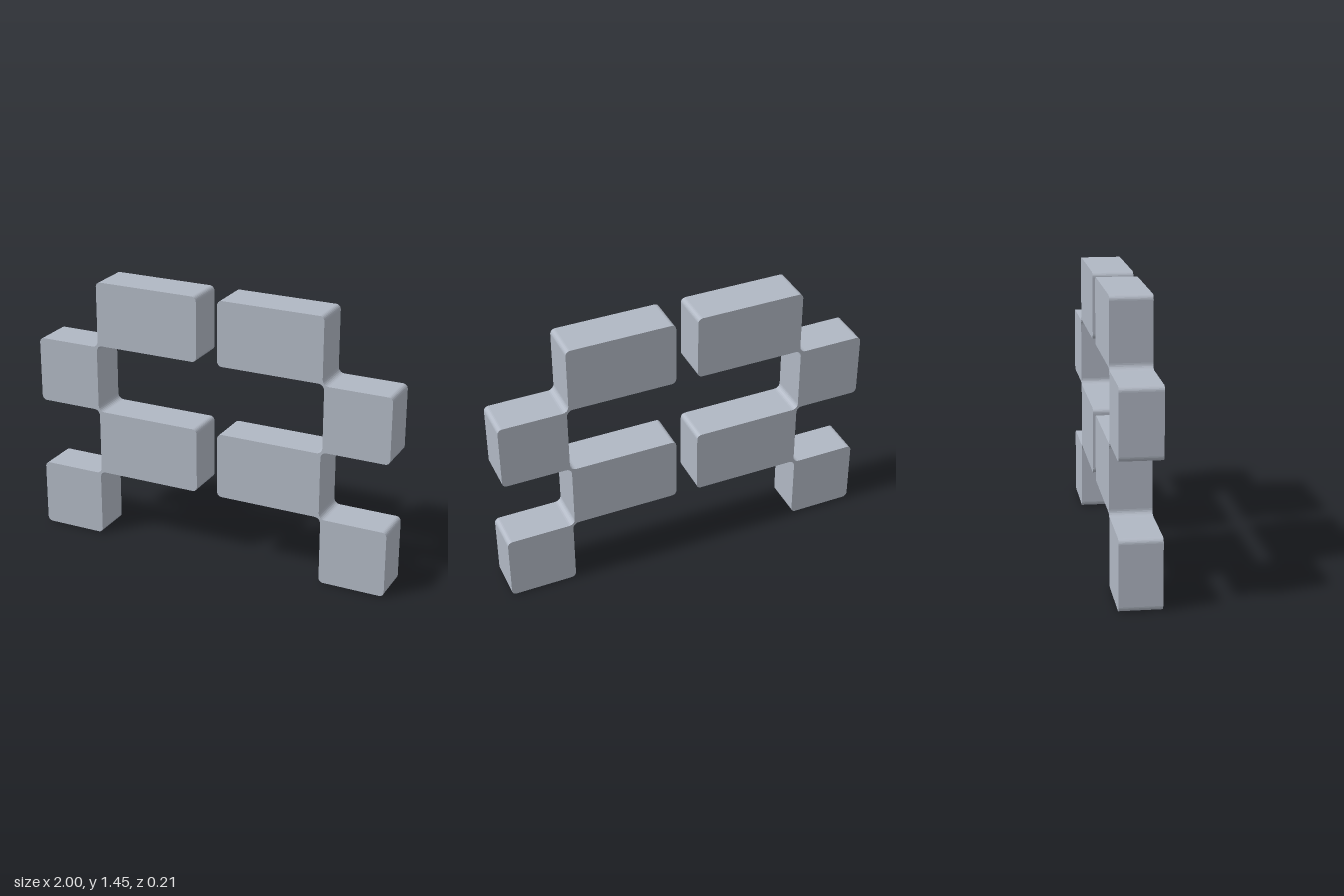
import * as THREE from 'three';

const DEPTH = 0.212;
const KAPPA = 0.5523; // bezier handle ratio for a quarter circle

// Closed outline whose right-angle corners [x, y, radius] become quarter arcs
function roundedOutline(corners) {
  const shape = new THREE.Shape();
  const n = corners.length;
  const toward = (p, q, d) => {
    const len = Math.hypot(q[0] - p[0], q[1] - p[1]);
    return [p[0] + (q[0] - p[0]) * d / len, p[1] + (q[1] - p[1]) * d / len];
  };
  corners.forEach((p, i) => {
    const prev = corners[(i + n - 1) % n];
    const next = corners[(i + 1) % n];
    const r = p[2];
    const start = toward(p, prev, r);
    const end = toward(p, next, r);
    if (i === 0) shape.moveTo(...start);
    else shape.lineTo(...start);
    const h = r * (1 - KAPPA);
    shape.bezierCurveTo(...toward(p, prev, h), ...toward(p, next, h), ...end);
  });
  shape.closePath();
  return shape;
}

// Staggered chain of blocks: outer squares alternate with inner wide bricks,
// joined corner to corner by thin filleted necks
function blockChain(name, side, wideInner, wideOuter, squareInner, material) {
  const R = 0.025; // outer corners
  const F = 0.032; // neck fillets
  const corners = [
    [1, 0, R], [squareInner, 0, R],
    [squareInner, 0.369, F], [wideInner, 0.369, R],
    [wideInner, 0.723, R], [squareInner, 0.723, F],
    [squareInner, 1.096, F], [wideInner, 1.096, R],
    [wideInner, 1.445, R], [wideOuter, 1.445, R],
    [wideOuter, 1.087, F], [1, 1.087, R],
    [1, 0.732, R], [wideOuter, 0.732, F],
    [wideOuter, 0.36, F], [1, 0.36, R],
  ].map(([x, y, r]) => [x * side, y, r]);
  const geometry = new THREE.ExtrudeGeometry(roundedOutline(corners), {
    depth: DEPTH, bevelEnabled: false, curveSegments: 6,
  });
  geometry.translate(0, 0, -DEPTH / 2);
  const mesh = new THREE.Mesh(geometry, material);
  mesh.name = name;
  return mesh;
}

export function createModel() {
  const model = new THREE.Group();
  model.name = 'steppedBlocks';
  const grey = new THREE.MeshStandardMaterial({ color: 0xb0b7c3 });
  grey.name = 'blueGrey';

  model.add(
    blockChain('rightBlockChain', -1, 0.062, 0.642, 0.648, grey),
    blockChain('leftBlockChain', 1, 0.057, 0.633, 0.642, grey),
  );
  return model;
}
